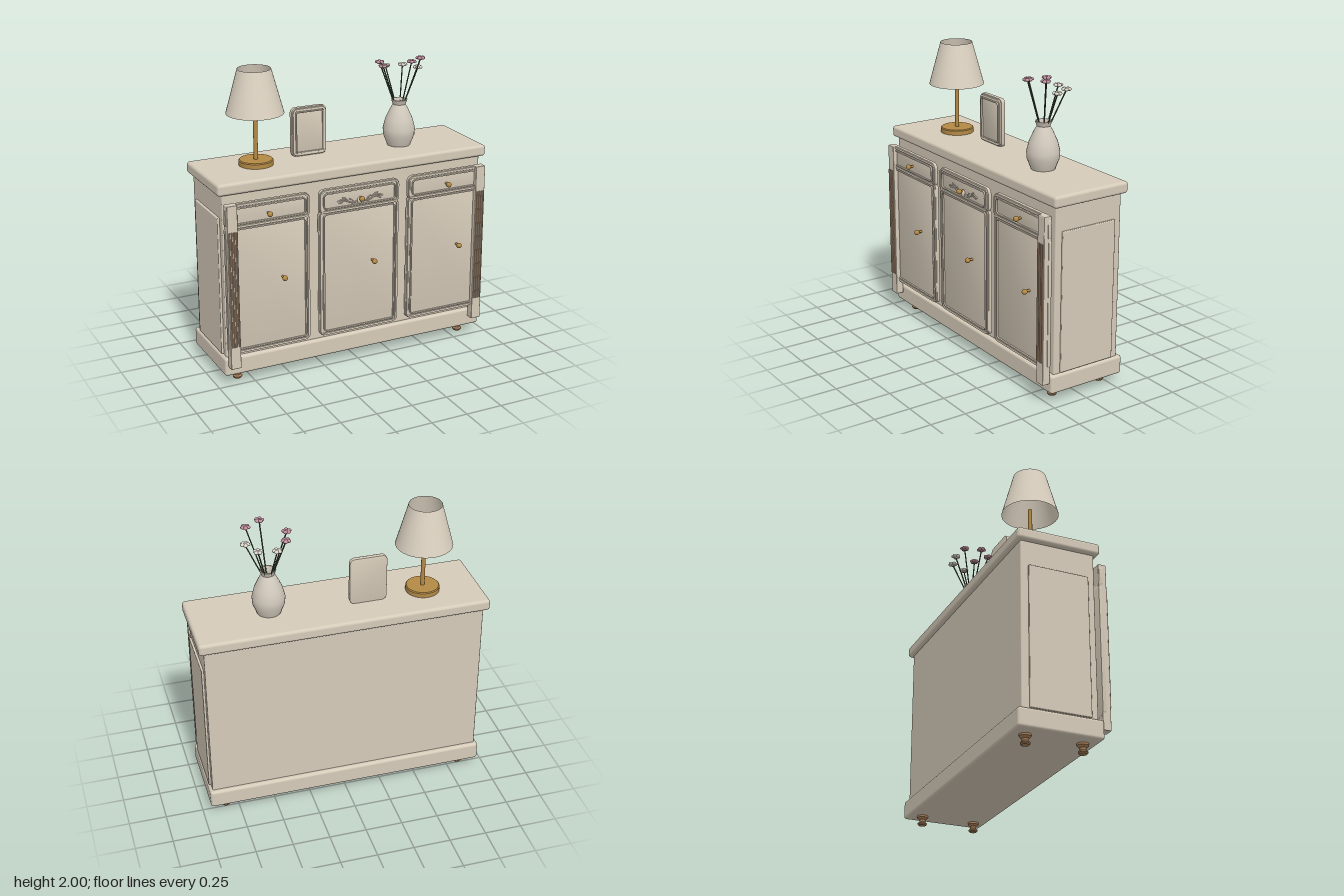
import * as THREE from 'three';
import { RoundedBoxGeometry } from 'three/addons/geometries/RoundedBoxGeometry.js';
import { toCreasedNormals } from 'three/addons/utils/BufferGeometryUtils.js';

const paint = (name, color, side = THREE.FrontSide) => {
  const m = new THREE.MeshStandardMaterial({ color, side });
  m.name = name;
  return m;
};

export function createModel() {
  const cream = paint('cream paint', 0xd6cbb9);
  const shadeCloth = paint('shade cloth', 0xdcd2c1, THREE.DoubleSide);
  const ceramic = paint('ceramic', 0xd2cabd, THREE.DoubleSide);
  const brass = paint('brass', 0xb48a46);
  const wood = paint('warm wood', 0xa98058);
  const fluteTan = paint('flute tan', 0xb8987c);
  const pink = paint('pink petals', 0xc08f9e);
  const white = paint('white petals', 0xdcd6ca);
  const green = paint('stem green', 0x46523c);

  const model = new THREE.Group();
  model.name = 'sideboard';

  const add = (name, geometry, material, x = 0, y = 0, z = 0, parent = model) => {
    const mesh = new THREE.Mesh(geometry, material);
    mesh.name = name;
    mesh.position.set(x, y, z);
    parent.add(mesh);
    return mesh;
  };
  // Box given by its lower and upper limits
  const block = (name, material, [x0, x1], [y0, y1], [z0, z1], r) =>
    add(name, new RoundedBoxGeometry(x1 - x0, y1 - y0, z1 - z0, 3, r), material,
      (x0 + x1) / 2, (y0 + y1) / 2, (z0 + z1) / 2);
  const lathe = (points, sides, crease = 0.6) => toCreasedNormals(
    new THREE.LatheGeometry(points.map(p => new THREE.Vector2(...p)), sides), crease);

  const roundRect = (Type, w, h, r) => {
    const s = new Type(), x = w / 2, y = h / 2;
    s.moveTo(r - x, -y);
    s.lineTo(x - r, -y).absarc(x - r, r - y, r, -Math.PI / 2, 0);
    s.lineTo(x, y - r).absarc(x - r, y - r, r, 0, Math.PI / 2);
    s.lineTo(r - x, y).absarc(r - x, y - r, r, Math.PI / 2, Math.PI);
    s.lineTo(-x, r - y).absarc(r - x, r - y, r, Math.PI, Math.PI * 1.5);
    return s;
  };
  // Rounded slab, or a rounded ring when t > 0, standing from z = 0 to z = depth
  const slab = (w, h, r, depth, t = 0, bevel = 0.004) => {
    const shape = roundRect(THREE.Shape, w - 2 * bevel, h - 2 * bevel, r);
    if (t) shape.holes.push(roundRect(THREE.Path, w - 2 * (t - bevel), h - 2 * (t - bevel), Math.max(r - t, 0.012)));
    return toCreasedNormals(new THREE.ExtrudeGeometry(shape, {
      depth: depth - 2 * bevel, bevelThickness: bevel, bevelSize: bevel, bevelSegments: 2, curveSegments: 6,
    }).translate(0, 0, bevel), 0.7);
  };

  // Carcass
  block('body', cream, [-0.93, 0.93], [0.1, 1.33], [-0.29, 0.21], 0.008);
  block('plinth', cream, [-0.95, 0.95], [0.065, 0.19], [-0.32, 0.24], 0.018);
  block('topBoard', cream, [-0.965, 0.965], [1.293, 1.37], [-0.32, 0.24], 0.02);

  // Side panels, pilasters with flutes, and feet
  const footShape = lathe([[0, 0], [0.025, 0], [0.031, 0.008], [0.031, 0.015], [0.02, 0.024],
    [0.022, 0.038], [0.037, 0.052], [0.037, 0.07], [0, 0.07]], 20);
  const fluteShape = new THREE.CylinderGeometry(0.0055, 0.0055, 0.78, 10);
  for (const s of [-1, 1]) {
    const span = (a, b) => (s > 0 ? [a, b] : [-b, -a]);
    block('sidePanel', cream, span(0.92, 0.945), [0.195, 1.13], [-0.24, 0.163], 0.006);
    block('pilaster', cream, span(0.861, 0.931), [0.135, 1.245], [0.24, 0.295], 0.005);
    for (let i = 0; i < 4; i++)
      add('flute', fluteShape, fluteTan, s * (0.872 + i * 0.016), 0.68, 0.2965);
    for (const z of [0.15, -0.225]) add('foot', footShape, wood, s * 0.835, 0, z);
  }

  // Three bays, each with a drawer above a door
  const knobShape = new THREE.SphereGeometry(0.018, 16, 12);
  const neckShape = new THREE.CylinderGeometry(0.007, 0.009, 0.035, 10).rotateX(Math.PI / 2);
  const knob = (name, x, y) => {
    add(name, knobShape, brass, x, y, 0.301);
    add(name + 'Neck', neckShape, brass, x, y, 0.277);
  };
  const front = (name, x, y0, y1, z) => {
    const g = new THREE.Group(), h = y1 - y0;
    g.name = name;
    g.position.set(x, (y0 + y1) / 2, z);
    model.add(g);
    add('panel', slab(0.58, h, 0.035, 0.025), cream, 0, 0, 0, g);
    add('outerMoulding', slab(0.572, h - 0.008, 0.033, 0.014, 0.016), cream, 0, 0, 0.02, g);
    add('innerBead', slab(0.524, h - 0.05, 0.028, 0.014, 0.01, 0.003), cream, 0, 0, 0.022, g);
  };
  for (const x of [-0.645, 0, 0.645]) {
    front('door', x, 0.225, 1.105, 0.238);
    front('drawer', x, 1.08, 1.245, 0.242);
    knob('drawerKnob', x, 1.155);
    knob('doorKnob', x + 0.095, 0.705);
  }

  // Carved leaf scroll on the middle drawer
  const scroll = (s, pts, r) => new THREE.TubeGeometry(new THREE.CatmullRomCurve3(
    pts.map(([x, y]) => new THREE.Vector3(s * x, y, 0.268))), 16, r, 6);
  for (const s of [-1, 1]) {
    add('scroll', scroll(s, [[0.01, 1.14], [0.05, 1.128], [0.09, 1.142], [0.125, 1.158], [0.165, 1.148]], 0.005), cream);
    add('scrollLeaf', scroll(s, [[0.085, 1.14], [0.105, 1.165], [0.13, 1.172]], 0.004), cream);
    add('scrollTip', scroll(s, [[0.11, 1.15], [0.135, 1.14], [0.155, 1.135]], 0.004), cream);
    add('scrollBud', scroll(s, [[0.045, 1.13], [0.06, 1.148], [0.08, 1.16]], 0.004), cream);
  }
  add('scrollDrop', new THREE.SphereGeometry(0.02, 14, 10).scale(1, 1.2, 0.7), cream, 0, 1.138, 0.27);

  // Table lamp
  const lamp = new THREE.Group();
  lamp.name = 'lamp';
  lamp.position.set(-0.583, 0, -0.06);
  model.add(lamp);
  add('lampBase', lathe([[0, 1.368], [0.112, 1.368], [0.112, 1.4], [0.106, 1.406], [0, 1.406]], 40), brass, 0, 0, 0, lamp);
  add('lampStem', new THREE.CylinderGeometry(0.014, 0.014, 0.35, 16), brass, 0, 1.575, 0, lamp);
  add('lampShade', new THREE.CylinderGeometry(0.108, 0.187, 0.288, 40, 1, true), shadeCloth, 0, 1.856, 0, lamp);

  // Picture frame
  add('frameBack', slab(0.25, 0.33, 0.03, 0.03), cream, -0.195, 1.535, -0.112);
  add('frameMoulding', slab(0.236, 0.316, 0.027, 0.014, 0.018), cream, -0.195, 1.535, -0.084);
  add('frameBead', slab(0.2, 0.28, 0.016, 0.014, 0.008, 0.003), cream, -0.195, 1.535, -0.078);
  add('frameInsert', slab(0.19, 0.27, 0.01, 0.006, 0, 0.001), cream, -0.195, 1.535, -0.083);

  // Vase with a hollow neck
  const cx = 0.45, cz = -0.043;
  add('vase', lathe([[0, 1.37], [0.078, 1.37], [0.105, 1.44], [0.108, 1.485], [0.092, 1.55], [0.062, 1.615],
    [0.043, 1.65], [0.055, 1.682], [0.046, 1.682], [0.036, 1.65], [0.05, 1.6], [0, 1.58]], 24, 0.75), ceramic, cx, 0, cz);

  // Flowers: lobed heads on slim stems fanning out of the vase
  const petalShape = new THREE.SphereGeometry(0.015, 10, 8).scale(1, 0.7, 1);
  const flowers = [
    [0.35, 1.92, -0.137, pink], [0.316, 1.92, -0.022, pink], [0.463, 1.96, 0.092, pink], [0.566, 1.96, 0.028, pink],
    [0.416, 1.88, -0.178, white], [0.532, 1.88, -0.155, white], [0.588, 1.88, -0.045, white],
  ];
  flowers.forEach(([x, y, z, petals], i) => {
    const head = new THREE.Vector3(x, y, z);
    const foot = new THREE.Vector3(cx + (x - cx) * 0.08, 1.59, cz + (z - cz) * 0.08);
    add('stem', new THREE.TubeGeometry(new THREE.LineCurve3(foot, head), 1, 0.0045, 6), green);
    const flower = new THREE.Group();
    flower.name = 'flower';
    flower.position.copy(head);
    flower.rotation.y = i * 0.9;
    model.add(flower);
    for (let k = 0; k < 5; k++) {
      const a = k * Math.PI * 2 / 5;
      add('petal', petalShape, petals, 0.018 * Math.cos(a), 0.006, 0.018 * Math.sin(a), flower);
    }
    add('heart', new THREE.SphereGeometry(0.012, 10, 8), petals, 0, 0.002, 0, flower);
  });

  return model;
}
